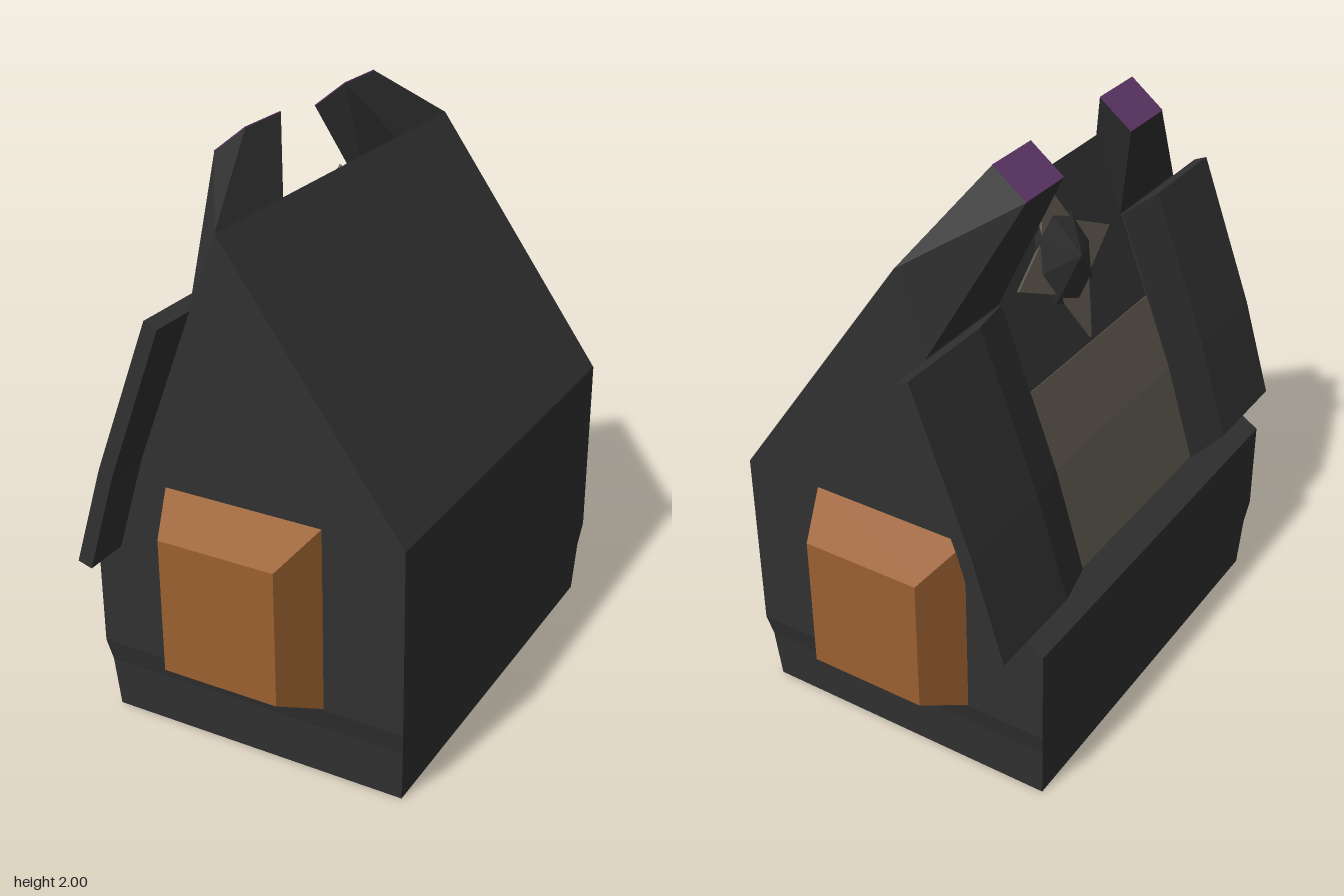
import * as THREE from 'three';

const mat = (name, color, flatShading = true) => {
  const m = new THREE.MeshStandardMaterial({ color, flatShading });
  m.name = name;
  return m;
};

// Closed solid through rings of equal point count, always facing outward
function loft(rings) {
  const n = rings[0].length, tris = [];
  for (let r = 0; r < rings.length - 1; r++) {
    for (let i = 0; i < n; i++) {
      const j = (i + 1) % n, a = rings[r], b = rings[r + 1];
      tris.push([a[i], a[j], b[j]], [a[i], b[j], b[i]]);
    }
  }
  const first = rings[0], last = rings[rings.length - 1];
  for (let i = 1; i < n - 1; i++) {
    tris.push([first[0], first[i + 1], first[i]], [last[0], last[i], last[i + 1]]);
  }
  const v = (p) => new THREE.Vector3(...p);
  const volume = tris.reduce((s, [a, b, c]) => s + v(a).dot(v(b).cross(v(c))), 0);
  if (volume < 0) tris.forEach((t) => t.reverse());
  const g = new THREE.BufferGeometry();
  g.setAttribute('position', new THREE.Float32BufferAttribute(tris.flat(2), 3));
  g.computeVertexNormals();
  return g;
}

// Rings in the xy plane at a given z, and rectangles in xz at a given y
const ringZ = (pts, z) => pts.map(([x, y]) => [x, y, z]);
const rectY = (x, y, z) => [[-x, y, -z], [x, y, -z], [x, y, z], [-x, y, z]];
const rectZ = (x, y0, y1, z) => ringZ([[-x, y0], [x, y0], [x, y1], [-x, y1]], z);

export function createModel() {
  const model = new THREE.Group();
  const dark = mat('charcoal', 0x313131);
  const orange = mat('burntOrange', 0x9a6030);
  const purple = mat('purple', 0x5c3667);
  const beige = mat('greyBeige', 0x5c574c);
  const add = (name, geometry, material, parent = model) => {
    const mesh = new THREE.Mesh(geometry, material);
    mesh.name = name;
    parent.add(mesh);
    return mesh;
  };

  // Wedge-shaped housing
  const profile = [[-0.56, 0.27], [0.56, 0.27], [0.56, 0.92], [-0.06, 1.79], [-0.16, 1.53],
    [-0.365, 1.0], [-0.47, 0.66], [-0.56, 0.6]];
  const shape = new THREE.Shape(profile.map((p) => new THREE.Vector2(...p)));
  const body = new THREE.ExtrudeGeometry(shape, { depth: 1.51, bevelEnabled: false });
  body.translate(0, 0, -0.755);
  add('body', body, dark);

  // Tapered base
  add('base', loft([rectY(0.54, 0, 0.72), rectY(0.55, 0.185, 0.735), rectY(0.56, 0.27, 0.755)]), dark);

  // Sloped panel below the emblem
  const panel = [[-0.47, 0.66], [-0.365, 1.0], [-0.268, 1.25], [-0.273, 1.252], [-0.371, 1.002], [-0.476, 0.662]];
  const panelShape = new THREE.Shape(panel.map((p) => new THREE.Vector2(...p)));
  const panelGeo = new THREE.ExtrudeGeometry(panelShape, { depth: 0.75, bevelEnabled: false });
  panelGeo.translate(0, 0, -0.375);
  add('slopedPanel', panelGeo, beige);

  // Parts repeated at both ends
  for (const s of [1, -1]) {
    const side = s > 0 ? 'front' : 'back';

    add(side + 'Box', loft([rectZ(0.28, 0.275, 0.92, s * 0.755), rectZ(0.205, 0.36, 0.83, s * 0.915)]), orange);

    // Side plate, thinning toward the middle
    const inner = [[-0.365, 1.0], [-0.47, 0.655], [-0.165, 1.53]];
    const outer = [[-0.412, 1.02], [-0.52, 0.67], [-0.21, 1.55]];
    const plate = (t, z) => {
      const o = outer.map(([x, y], i) => [
        THREE.MathUtils.lerp(inner[i][0], x, t), THREE.MathUtils.lerp(inner[i][1], y, t)]);
      return ringZ([inner[0], inner[1], o[1], o[0], o[2], inner[2]], s * z);
    };
    add(side + 'Plate', loft([plate(0.12, 0.375), plate(1, 0.55), plate(1, 0.912)]), dark);

    // Horn leaning up and inward from the ridge
    const tip = [[-0.28, 1.91, s * 0.205], [-0.165, 2.0, s * 0.205],
      [-0.165, 2.0, s * 0.41], [-0.28, 1.91, s * 0.41]];
    const root = [[-0.16, 1.53, s * 0.375], [-0.06, 1.79, s * 0.375],
      [-0.06, 1.79, s * 0.755], [-0.16, 1.53, s * 0.755]];
    add(side + 'Horn', loft([root, tip]), dark);
    add(side + 'HornCap', loft([tip, tip.map(([x, y, z]) => [x - 0.002, y + 0.003, z])]), purple);
  }

  // Four-pointed emblem with a faceted dark centre, lying on the upper slope
  const emblem = new THREE.Group();
  emblem.name = 'emblem';
  const up = new THREE.Vector3(0.36, 0.933, 0).normalize();
  const out = new THREE.Vector3(-up.y, up.x, 0);
  emblem.quaternion.setFromRotationMatrix(
    new THREE.Matrix4().makeBasis(new THREE.Vector3(0, 0, 1), up, out));
  emblem.position.set(-0.165, 1.53, 0);
  model.add(emblem);
  const points = [];
  for (let i = 0; i < 8; i++) {
    const a = (i * Math.PI) / 4, r = i % 2 ? 0.13 : 0.28;
    points.push(new THREE.Vector2(Math.cos(a) * r, Math.sin(a) * r));
  }
  add('star', new THREE.ExtrudeGeometry(new THREE.Shape(points), { depth: 0.009, bevelEnabled: false }), beige, emblem);
  add('starCentre', new THREE.ConeGeometry(0.16, 0.07, 8).rotateX(Math.PI / 2).translate(0, 0, 0.036), dark, emblem);

  return model;
}
